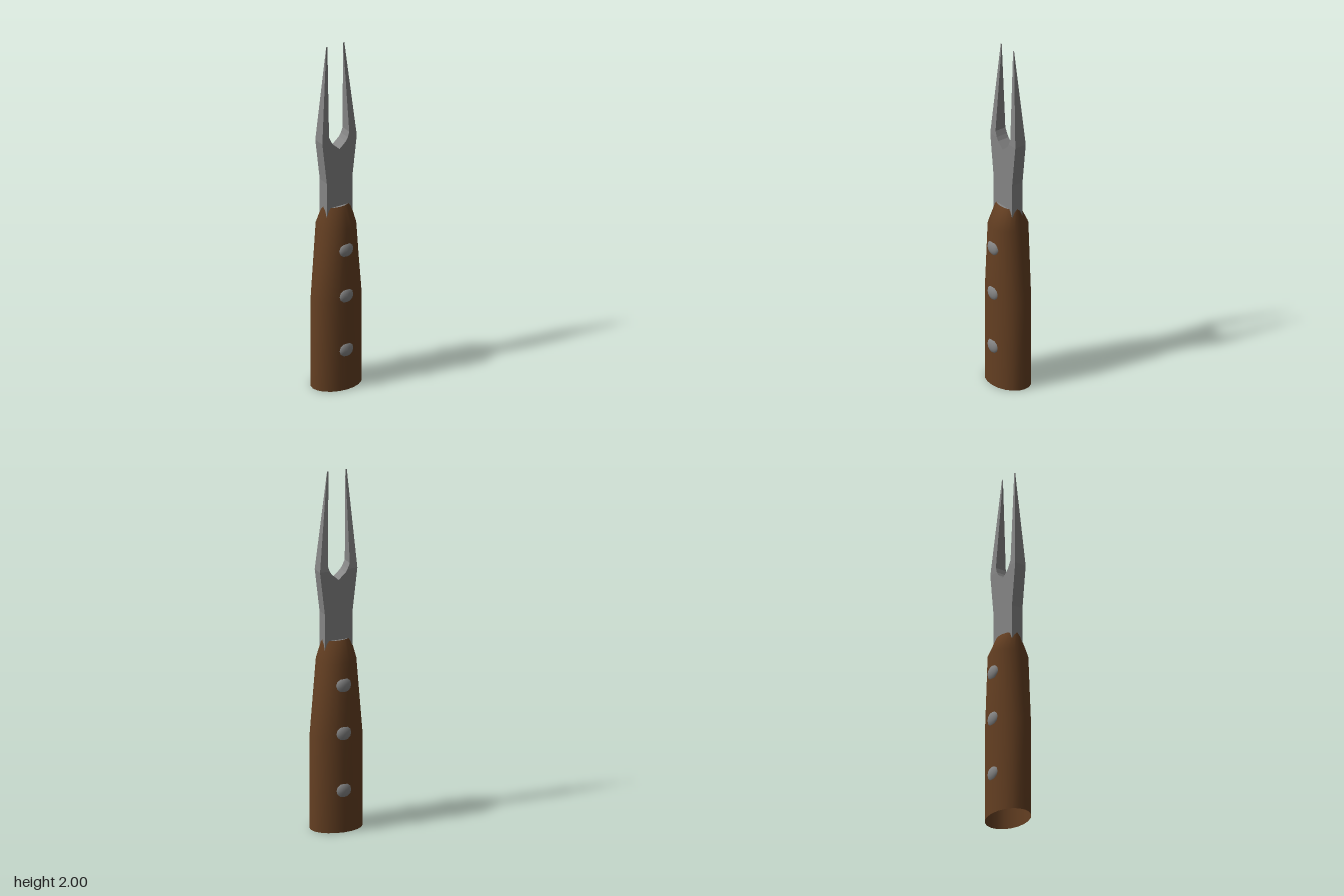
import * as THREE from 'three';
import { mergeVertices } from 'three/addons/utils/BufferGeometryUtils.js';

const HALF = 0.035; // half thickness of the steel

// Flat steel plate from an outline; above y = 1.45 it thins to a point at y = 2
function plate(points) {
  const shape = new THREE.Shape(points.map(([x, y]) => new THREE.Vector2(x, y)));
  const geo = new THREE.ExtrudeGeometry(shape, { depth: 2, bevelEnabled: false });
  const p = geo.attributes.position;
  for (let i = 0; i < p.count; i++) {
    const taper = Math.min(1, Math.max(0.01, (2 - p.getY(i)) / 0.55));
    p.setZ(i, (p.getZ(i) - 1) * HALF * taper);
  }
  geo.computeVertexNormals();
  return geo;
}

// Hollow elliptical grip; each ring is [y, x radius, z radius], top first
function gripGeometry(rings) {
  const geo = new THREE.CylinderGeometry(1, 1, 1, 20, rings.length - 1, true);
  const p = geo.attributes.position;
  for (let i = 0; i < p.count; i++) {
    const [y, rx, rz] = rings[Math.floor(i / 21)];
    p.setXYZ(i, p.getX(i) * rx, y, p.getZ(i) * rz);
  }
  geo.deleteAttribute('uv');
  geo.deleteAttribute('normal');
  const smooth = mergeVertices(geo);
  smooth.computeVertexNormals();
  return smooth;
}

export function createModel() {
  const group = new THREE.Group();
  const wood = new THREE.MeshStandardMaterial({ color: 0x643f22, side: THREE.DoubleSide });
  wood.name = 'brown wood';
  const steel = new THREE.MeshStandardMaterial({ color: 0x858585 });
  steel.name = 'grey steel';

  const add = (name, geo, mat) => {
    const mesh = new THREE.Mesh(geo, mat);
    mesh.name = name;
    group.add(mesh);
    return mesh;
  };

  // Handle
  add('handle', gripGeometry([
    [1.06, 0.08, 0.05],
    [0.945, 0.108, 0.108],
    [0.52, 0.146, 0.108],
    [0, 0.146, 0.108],
  ]), wood);

  // Steel collar closing the top of the handle
  const collar = add('collar', new THREE.CircleGeometry(1, 20).rotateX(-Math.PI / 2), steel);
  collar.scale.set(0.08, 1, 0.05);
  collar.position.y = 1.059;

  // Shank with the notch between the tines
  add('shank', plate([
    [-0.08, 0.96], [0.08, 0.96], [0.08, 1.21], [0.108, 1.45], [0.052, 1.45],
    [0.04, 1.43], [0, 1.395], [-0.04, 1.43], [-0.052, 1.45], [-0.108, 1.45], [-0.08, 1.21],
  ]), steel);

  // Pointed tines
  add('leftTine', plate([[0.052, 1.45], [0.108, 1.45], [0.052, 2], [0.044, 2], [0.062, 1.48]]), steel);
  add('rightTine', plate([[-0.108, 1.45], [-0.052, 1.45], [-0.065, 1.48], [-0.054, 2], [-0.062, 2]]), steel);

  // Domed rivets on both sides of the handle
  for (const y of [0.235, 0.555, 0.825]) {
    for (const side of [1, -1]) {
      const dome = new THREE.SphereGeometry(1, 12, 8).rotateX(Math.PI / 2);
      const rivet = add('rivet', dome, steel);
      rivet.scale.set(0.046, 0.046, 0.025);
      rivet.position.set(0, y, side * 0.094);
    }
  }
  return group;
}
